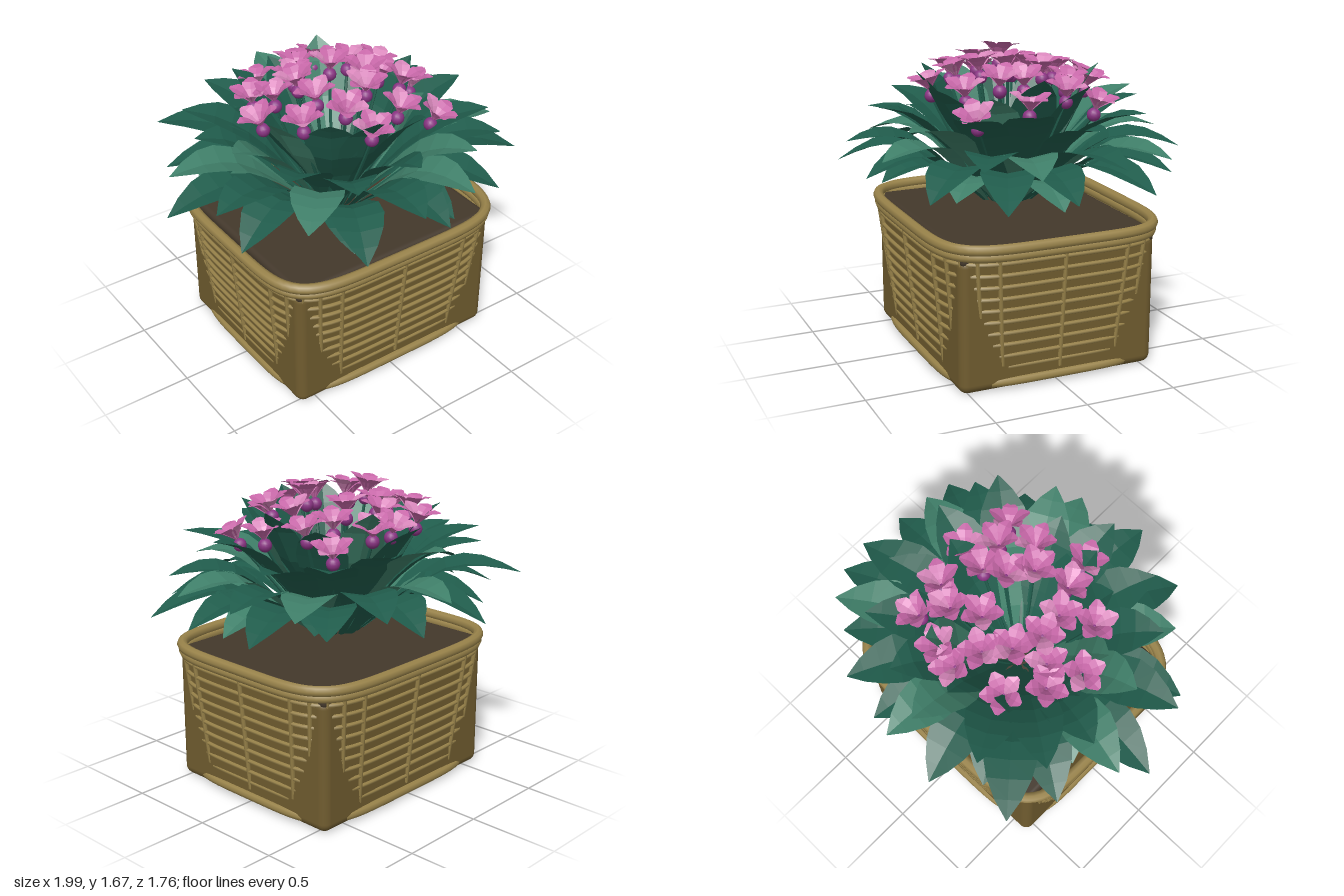
import * as THREE from 'three';
import { RoundedBoxGeometry } from 'three/addons/geometries/RoundedBoxGeometry.js';

const mat = (name, color, extra = {}) => {
  const m = new THREE.MeshStandardMaterial({ color, ...extra });
  m.name = name;
  return m;
};

const CX = 0.03, CZ = -0.01; // basket centre

// Half sizes of the flared wicker at height y
const halfX = (y) => 0.622 + 0.102 * y;
const halfZ = (y) => 0.539 + 0.112 * y;

// Point on a squarish superellipse at polar angle a
function squircle(a, hx, hz, y) {
  const c = Math.cos(a), s = Math.sin(a), n = 5;
  const r = Math.pow(Math.abs(c / hx) ** n + Math.abs(s / hz) ** n, -1 / n);
  return new THREE.Vector3(CX + c * r, y, CZ + s * r);
}

function ringGeometry(hx, hz, y, radius, sides) {
  const pts = [];
  for (let i = 0; i < 72; i++) pts.push(squircle((i / 72) * Math.PI * 2, hx, hz, y));
  return new THREE.TubeGeometry(new THREE.CatmullRomCurve3(pts, true), 120, radius, sides, true);
}

// Folded blade: spine of [out, up] points, half-width profile, depth of the midrib crease
function bladeGeometry(spine, widths, rows, fold) {
  const curve = new THREE.CatmullRomCurve3(spine.map(([r, y]) => new THREE.Vector3(r, y, 0)));
  const pos = [], index = [];
  for (let i = 0; i <= rows; i++) {
    const t = i / rows, p = curve.getPoint(t), d = curve.getTangent(t);
    const f = t * (widths.length - 1), k = Math.min(Math.floor(f), widths.length - 2);
    const w = THREE.MathUtils.lerp(widths[k], widths[k + 1], f - k);
    const lift = fold * w;
    for (const s of [-1, 0, 1]) {
      const l = s ? lift : 0;
      pos.push(p.x - d.y * l, p.y + d.x * l, s * w);
    }
    if (i === rows) break;
    for (const j of [0, 1]) {
      const a = i * 3 + j;
      index.push(a, a + 1, a + 3, a + 1, a + 4, a + 3);
    }
  }
  const g = new THREE.BufferGeometry();
  g.setAttribute('position', new THREE.Float32BufferAttribute(pos, 3));
  g.setIndex(index);
  g.computeVertexNormals();
  return g;
}

export function createModel() {
  const model = new THREE.Group();
  model.name = 'flowerBasket';
  const wicker = mat('wicker', 0x99834a);
  const liner = mat('basketBody', 0x705c2f);
  const earth = mat('soil', 0x43382b);
  const darkLeaf = mat('darkLeaf', 0x205c4c, { side: THREE.DoubleSide, flatShading: true });
  const lightLeaf = mat('lightLeaf', 0x3f7f69, { side: THREE.DoubleSide, flatShading: true });
  const pink = mat('petalPink', 0xc767a8, { side: THREE.DoubleSide, flatShading: true });
  const palePink = mat('petalPalePink', 0xd988bc, { side: THREE.DoubleSide, flatShading: true });
  const purple = mat('budPurple', 0x8a3483);

  let seed = 11;
  const rand = () => (seed = (seed * 16807) % 2147483647) / 2147483647;
  const jitter = (a) => (rand() - 0.5) * 2 * a;
  const add = (parent, name, geometry, material) => {
    const m = new THREE.Mesh(geometry, material);
    m.name = name;
    parent.add(m);
    return m;
  };

  // Basket body and soil
  const basket = new THREE.Group();
  basket.name = 'basket';
  model.add(basket);
  add(basket, 'basketBody', new RoundedBoxGeometry(1.28, 0.73, 1.11, 4, 0.05), liner).position.set(CX, 0.375, CZ);
  add(basket, 'soil', new RoundedBoxGeometry(1.27, 0.08, 1.1, 3, 0.03), earth).position.set(CX, 0.732, CZ);

  // Woven rods, base ring and double rim
  for (let i = 0; i < 10; i++) {
    const y = 0.13 + i * 0.0645;
    add(basket, 'wovenRod', ringGeometry(halfX(y), halfZ(y), y, 0.012, 6), wicker);
  }
  add(basket, 'baseRing', ringGeometry(0.636, 0.556, 0.05, 0.025, 8), wicker);
  add(basket, 'lowerRim', ringGeometry(0.702, 0.617, 0.751, 0.027, 8), wicker);
  add(basket, 'upperRim', ringGeometry(0.709, 0.622, 0.79, 0.029, 8), wicker);

  // Upright stakes, closer together toward the corners
  for (let i = 0; i < 24; i++) {
    const a = (i / 24) * Math.PI * 2;
    const soft = (v) => Math.sign(v) * Math.abs(v) ** 0.4;
    const at = (y) => new THREE.Vector3(
      CX + soft(Math.cos(a)) * (halfX(y) + 0.002), y, CZ + soft(Math.sin(a)) * (halfZ(y) + 0.002));
    add(basket, 'stake', new THREE.TubeGeometry(new THREE.LineCurve3(at(0.09), at(0.75)), 1, 0.012, 6), wicker);
  }

  const foliage = new THREE.Group();
  foliage.name = 'foliage';
  model.add(foliage);
  const leafWidths = [0.02, 0.03, 0.055, 0.095, 0.13, 0.138, 0.115, 0.068, 0.002];
  let leafCount = 0;
  // One leaf at an angle: rises from the base ring, bends at mid, ends at tip
  function addLeaf(angle, base, mid, tip) {
    const spine = [
      [base, 0.845],
      [base + (mid[0] - base) * 0.5, 0.845 + (mid[1] - 0.845) * 0.57],
      mid,
      [(mid[0] + tip[0]) / 2, (mid[1] + tip[1]) / 2 + 0.03],
      tip,
    ];
    const material = leafCount++ % 4 === 1 ? lightLeaf : darkLeaf;
    add(foliage, 'leaf', bladeGeometry(spine, leafWidths, 8, 0.2), material).rotation.y = angle;
  }

  // Outer leaves, given by the place of each tip as [x, z]
  const outerTips = [
    [-0.2, -0.88], [0.09, -0.88], [0.25, -0.84], [0.48, -0.8], [0.71, -0.62], [0.84, -0.54], [0.98, -0.37],
    [0.96, -0.22], [0.99, 0.06], [0.92, 0.22], [0.95, 0.41], [0.78, 0.46], [0.6, 0.67], [0.3, 0.81],
    [0.12, 0.84], [-0.08, 0.88], [-0.4, 0.84], [-0.58, 0.6], [-0.83, 0.38], [-0.89, 0.26], [-1, -0.06],
    [-0.9, -0.2], [-0.76, -0.5], [-0.66, -0.77], [-0.42, -0.7],
  ];
  outerTips.forEach(([x, z], i) => {
    const r = Math.hypot(x, z), high = i % 2;
    const tipY = (high ? 1.19 : 1.05) + jitter(0.04);
    addLeaf(Math.atan2(-z, x), 0.15, [r * 0.6, high ? 1.19 : 1.13], [r, tipY]);
  });

  // Short drooping leaves underneath, then the rising and upright tiers
  const tiers = [
    { count: 9, tip: [0.76, 1.02], mid: [0.5, 1.08], base: 0.16 },
    { count: 14, tip: [0.76, 1.39], mid: [0.46, 1.25], base: 0.12 },
    { count: 11, tip: [0.52, 1.53], mid: [0.33, 1.26], base: 0.07 },
  ];
  tiers.forEach(({ count, tip, mid, base }, t) => {
    for (let i = 0; i < count; i++) {
      const dr = jitter(0.05), dy = jitter(0.06);
      const angle = ((i + t * 0.5) / count) * Math.PI * 2 + jitter(0.07);
      addLeaf(angle, base, [mid[0], mid[1] + dy * 0.5], [tip[0] + dr, tip[1] + dy]);
    }
  });

  // Cupped five-petalled flowers on thin stems, each with a round bud beneath
  const spots = [
    [0.14, -0.4], [0.37, -0.34], [0.25, -0.23], [-0.03, -0.29], [-0.25, -0.36], [-0.3, -0.11],
    [-0.44, -0.01], [-0.2, -0.04], [-0.33, 0.2], [-0.1, 0.24], [-0.06, 0.41], [0.15, 0.06],
    [0.18, 0.31], [0.39, 0.33], [0.45, 0.07], [0.3, 0.17], [0.38, -0.17], [0.09, -0.17],
    [-0.13, -0.18], [-0.18, 0.1], [0.07, 0.18], [0.02, -0.42], [-0.38, -0.2], [0.27, 0.02],
  ];
  const petalShape = bladeGeometry([[0.006, 0.034], [0.026, 0.066], [0.065, 0.104], [0.112, 0.118]],
    [0.008, 0.024, 0.043, 0.042, 0.01], 4, 0.16);
  const budShape = new THREE.SphereGeometry(0.037, 14, 10);
  const up = new THREE.Vector3(0, 1, 0);
  spots.forEach(([x, z], n) => {
    const y = 1.55 - 0.75 * (x * x + z * z) + jitter(0.03);
    const flower = new THREE.Group();
    flower.name = 'flower';
    flower.position.set(x, y, z);
    const lean = new THREE.Vector3(x * 0.6 + jitter(0.15), 1, z * 0.6 + jitter(0.15)).normalize();
    flower.quaternion.setFromUnitVectors(up, lean);
    model.add(flower);
    add(flower, 'bud', budShape, purple);
    const turn = rand() * 6;
    for (let i = 0; i < 5; i++) {
      const petal = add(flower, 'petal', petalShape, (n + i) % 5 === 0 ? palePink : pink);
      petal.rotation.y = turn + (i / 5) * Math.PI * 2;
    }
    const path = new THREE.QuadraticBezierCurve3(
      new THREE.Vector3(x * 0.25, 0.85, z * 0.25),
      new THREE.Vector3(x * 0.7, 1.15, z * 0.7),
      new THREE.Vector3(x, y, z));
    add(model, 'stem', new THREE.TubeGeometry(path, 8, 0.009, 5), darkLeaf);
  });
  return model;
}
